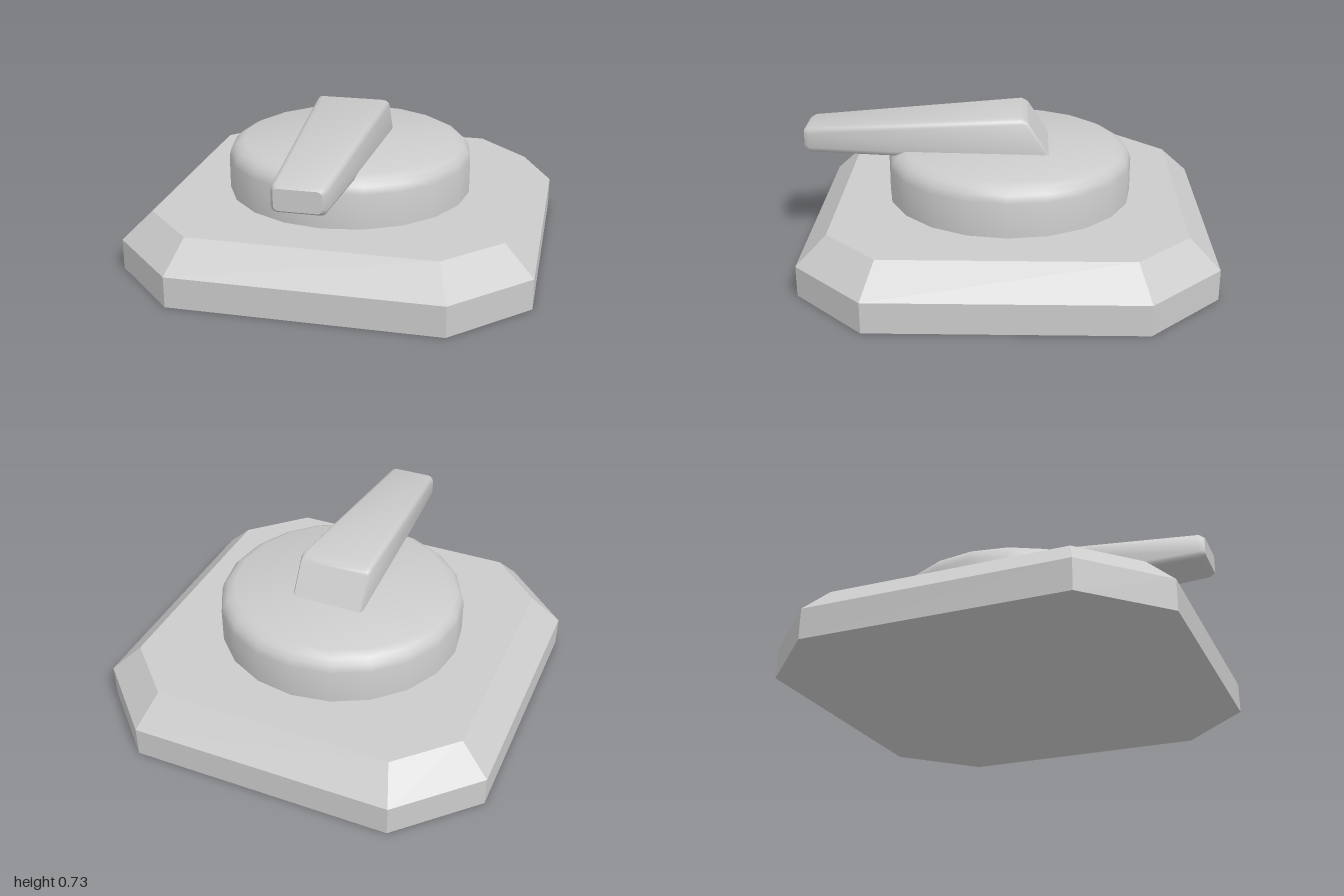
import * as THREE from 'three';
import { toCreasedNormals } from 'three/addons/utils/BufferGeometryUtils.js';

const grey = (flatShading = false) => new THREE.MeshStandardMaterial({ color: 0xcccccc, flatShading });

// Closed skin over rings of points; rings run counter-clockwise seen from the last ring's side
function loft(rings) {
  const n = rings[0].length;
  const index = [];
  for (let r = 0; r < rings.length - 1; r++) {
    for (let i = 0; i < n; i++) {
      const j = (i + 1) % n;
      const a = r * n + i, b = r * n + j, c = a + n, d = b + n;
      index.push(a, b, d, a, d, c);
    }
  }
  const last = (rings.length - 1) * n;
  for (let i = 1; i < n - 1; i++) {
    index.push(0, i + 1, i, last, last + i, last + i + 1);
  }
  const geometry = new THREE.BufferGeometry();
  geometry.setAttribute('position', new THREE.Float32BufferAttribute(rings.flat(2), 3));
  geometry.setIndex(index);
  return geometry;
}

// Square with cut corners at height y: half = half side, flat = half length of the straight edges
function octagon(y, half, flat) {
  return [
    [half, y, flat], [half, y, -flat], [flat, y, -half], [-flat, y, -half],
    [-half, y, -flat], [-half, y, flat], [-flat, y, half], [flat, y, half],
  ];
}

// Rounded rectangle across the handle, leaning from its bottom (zb, yb) to its top (zt, yt)
function handleSection([zb, yb, zt, yt, halfWidth, radius]) {
  const points = [];
  const steps = 3;
  const height = yt - yb;
  for (let corner = 0; corner < 4; corner++) {
    const sx = corner === 0 || corner === 3 ? 1 : -1;
    const sy = corner < 2 ? 1 : -1;
    for (let s = 0; s <= steps; s++) {
      const angle = (corner + s / steps) * Math.PI / 2;
      const x = sx * (halfWidth - radius) + radius * Math.cos(angle);
      const y = (yb + yt) / 2 + sy * (height / 2 - radius) + radius * Math.sin(angle);
      points.push([x, y, zb + (zt - zb) * (y - yb) / height]);
    }
  }
  return points;
}

export function createModel() {
  const group = new THREE.Group();
  const add = (name, geometry, material, z = 0) => {
    const mesh = new THREE.Mesh(geometry, material);
    mesh.name = name;
    mesh.position.z = z;
    group.add(mesh);
  };
  const centreZ = -0.015;

  // Mounting plate with cut corners and a sloping upper edge
  const plate = loft([octagon(0, 0.985, 0.64), octagon(0.15, 0.985, 0.64), octagon(0.29, 0.843, 0.585)]);
  add('basePlate', toCreasedNormals(plate, 0.1), grey(true), centreZ);

  // Round dial with a softened rim
  const profile = [
    [0.61, 0.28], [0.61, 0.46], [0.6, 0.495], [0.575, 0.52], [0.535, 0.54], [0, 0.54],
  ].map(([r, y]) => new THREE.Vector2(r, y));
  add('dial', toCreasedNormals(new THREE.LatheGeometry(profile, 20), 0.8), grey(), centreZ);

  // Tapering lever, from its sloping back end to its blunt tip
  const lever = loft([
    [-0.235, 0.5, -0.1, 0.71, 0.175, 0.02],
    [-0.22, 0.49, -0.07, 0.725, 0.185, 0.03],
    [0.975, 0.52, 0.975, 0.65, 0.125, 0.03],
    [1, 0.535, 1, 0.635, 0.107, 0.02],
  ].map(handleSection));
  add('lever', toCreasedNormals(lever, 0.9), grey());

  return group;
}
